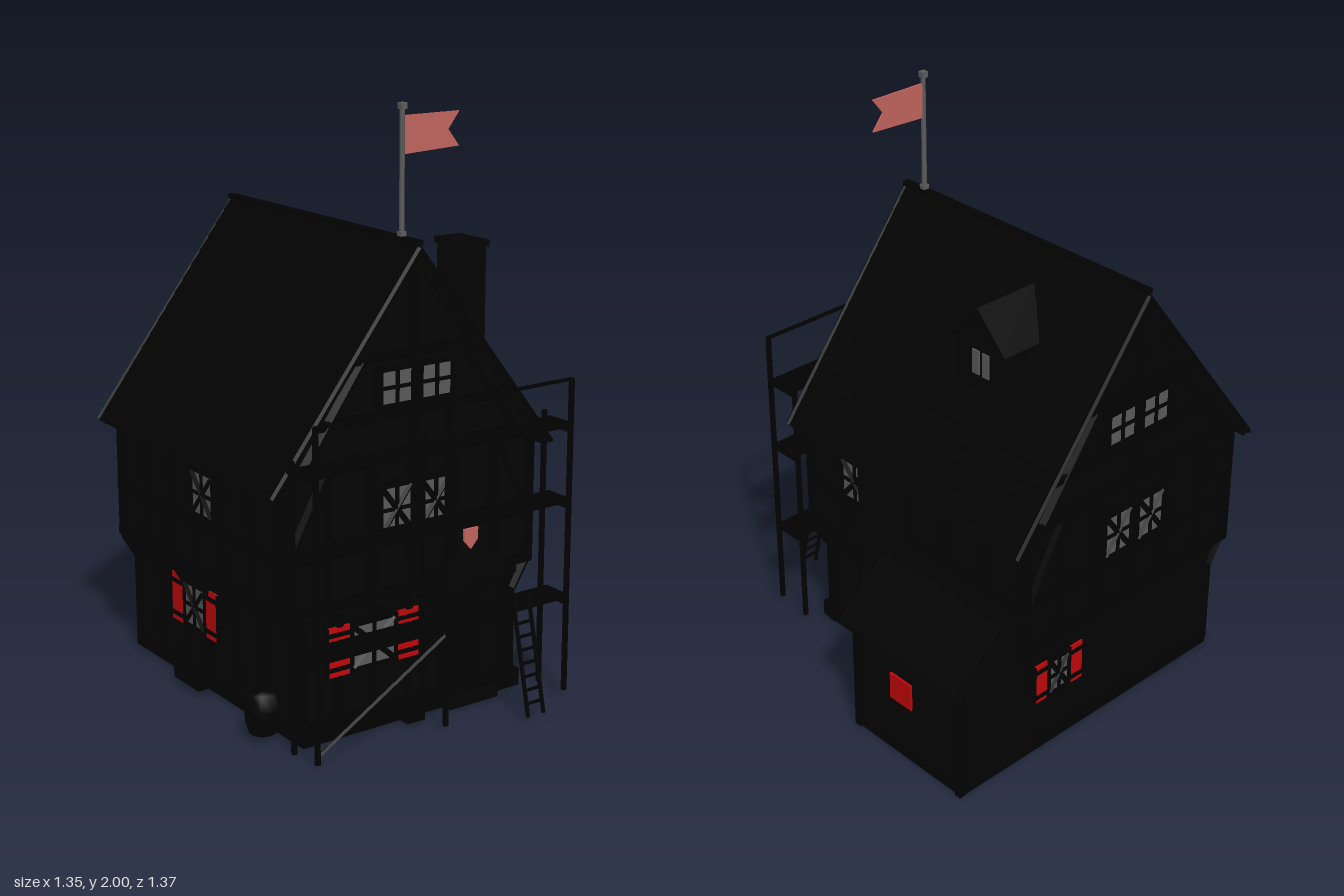
import * as THREE from 'three';

const mat = (name, color) => {
  const m = new THREE.MeshStandardMaterial({ color });
  m.name = name;
  return m;
};

export function createModel() {
  const wall = mat('dark wall', 0x030303), timber = mat('dark timber', 0x010101), tile = mat('roof tile', 0x020202);
  const glass = mat('window glass', 0x5a5a5a), red = mat('shutter red', 0xc20709);
  const cloth = mat('flag cloth', 0xc2645d), metal = mat('pole metal', 0x5c5c5c);
  const house = new THREE.Group();
  house.name = 'house';
  const RX = -0.12, ZF = 0.40, ZB = -0.65;

  const add = (name, geo, m, x = 0, y = 0, z = 0, parent = house) => {
    const mesh = new THREE.Mesh(geo, m);
    mesh.name = name;
    mesh.position.set(x, y, z);
    parent.add(mesh);
    return mesh;
  };
  const box = (name, m, w, h, d, x, y, z, parent) => add(name, new THREE.BoxGeometry(w, h, d), m, x, y, z, parent);
  // square beam between two points
  const beam = (name, m, a, b, t, parent) => {
    const p = new THREE.Vector3(...a), q = new THREE.Vector3(...b);
    const mesh = box(name, m, t, t, p.distanceTo(q), 0, 0, 0, parent);
    mesh.position.copy(p).add(q).multiplyScalar(0.5);
    mesh.quaternion.setFromUnitVectors(new THREE.Vector3(0, 0, 1), q.sub(p).normalize());
    return mesh;
  };
  // polygon in x and y, extruded from z0 to z1
  const prism = (name, m, pts, z0, z1, parent) => {
    const s = new THREE.Shape(pts.map(p => new THREE.Vector2(...p)));
    return add(name, new THREE.ExtrudeGeometry(s, { depth: z1 - z0, bevelEnabled: false }), m, 0, 0, z0, parent);
  };
  // four walls around an open middle
  const rect = (x0, x1, z0, z1) => [[x0, -z1], [x1, -z1], [x1, -z0], [x0, -z0]].map(p => new THREE.Vector2(...p));
  const ring = (name, m, x0, x1, z0, z1, t, h) => {
    const s = new THREE.Shape(rect(x0, x1, z0, z1));
    s.holes.push(new THREE.Path(rect(x0 + t, x1 - t, z0 + t, z1 - t)));
    add(name, new THREE.ExtrudeGeometry(s, { depth: h, bevelEnabled: false }).rotateX(-Math.PI / 2), m);
  };

  // hollow ground floor without a base, plinth and jettied upper floors with gables
  ring('groundFloor', wall, -0.56, 0.32, -0.635, 0.365, 0.04, 0.43);
  ring('plinth', timber, -0.56, 0.32, -0.64, 0.42, 0.045, 0.06);
  prism('upperFloors', wall, [[-0.61, 0.43], [0.37, 0.43], [0.37, 0.9], [RX, 1.53], [-0.61, 0.9]], ZB + 0.01, ZF - 0.01);

  // main roof: two thick slopes with overlapping courses
  const slope = 0.73 / 0.56;
  prism('roofSlab', tile, [[RX - 0.555, 0.85], [RX, 1.575], [RX + 0.555, 0.85], [RX + 0.535, 0.835], [RX, 1.52], [RX - 0.535, 0.835]], -0.67, 0.42);
  const angle = Math.atan(slope), courses = 16;
  for (const side of [-1, 1]) {
    for (let i = 0; i < courses; i++) {
      const t = (i + 0.5) / courses;
      const c = box('roofCourse', tile, 0.058, 0.008, 1.085, RX + side * 0.55 * t, 1.575 - 0.725 * t, -0.125);
      c.rotation.z = -side * (angle - 0.06);
    }
    for (const z of [-0.677, 0.43])
      beam('bargeBoard', timber, [RX + side * 0.552, 0.85, z], [RX, 1.562, z], 0.012);
  }
  box('ridge', tile, 0.025, 0.016, 1.11, RX, 1.577, -0.125);

  // framing on front and back
  for (const z of [ZF, ZB]) {
    for (const [y, w] of [[0.45, 0.98], [0.62, 0.98], [0.9, 0.98], [1.04, 0.76], [1.23, 0.46]])
      box('crossBeam', timber, w, 0.03, 0.026, RX, y, z);
    for (const s of [-1, 1]) {
      for (const dx of [0.16, 0.33, 0.48])
        box('stud', timber, 0.028, 0.46, 0.024, RX + s * dx, 0.67, z);
      beam('gableBrace', timber, [RX + s * 0.42, 0.91, z], [RX + s * 0.2, 1.22, z], 0.024);
      beam('wallBrace', timber, [RX + s * 0.47, 0.64, z], [RX + s * 0.34, 0.88, z], 0.022);
    }
    box('kingPost', timber, 0.026, 1.05, 0.024, RX, 0.96, z);
  }
  // framing on both sides
  for (const s of [-1, 1]) {
    for (const y of [0.45, 0.62, 0.84]) box('sideBeam', timber, 0.026, 0.03, 1.05, RX + s * 0.49, y, -0.125);
    for (let i = 0; i < 7; i++) {
      const z = -0.63 + i * 0.168;
      box('sideStud', timber, 0.024, 0.44, 0.026, RX + s * 0.49, 0.65, z);
      box('lowerStud', timber, 0.024, 0.42, 0.03, RX + s * 0.44, 0.22, -0.62 + i * 0.163);
      beam('jettyBracket', timber, [RX + s * 0.435, 0.34, z], [RX + s * 0.49, 0.43, z], 0.024);
    }
  }
  for (let i = 0; i < 7; i++) {
    const x = -0.53 + i * 0.137;
    box('frontStud', timber, 0.026, 0.42, 0.024, x, 0.22, 0.365);
    beam('frontBracket', timber, [x, 0.35, 0.365], [x, 0.43, 0.405], 0.024);
    box('joistEnd', timber, 0.03, 0.035, 0.03, x, 0.425, 0.395);
  }

  // four-pane window with optional diagonals; shuttered ones also show panes indoors
  const windowAt = (x, y, z, turn, w, h, { cross = true, shutter = 0 } = {}) => {
    const g = new THREE.Group();
    g.name = 'window';
    g.position.set(x, y, z);
    g.rotation.y = turn;
    house.add(g);
    box('glass', glass, w, h, 0.008, 0, 0, 0.012, g);
    box('mullion', timber, 0.013, h, 0.008, 0, 0, 0.017, g);
    box('glazingBar', timber, w, 0.012, 0.008, 0, 0, 0.017, g);
    for (const s of [-1, 1]) {
      box('rail', timber, w + 0.03, 0.015, 0.03, 0, s * (h / 2 + 0.007), 0.005, g);
      box('jamb', timber, 0.015, h, 0.03, s * (w / 2 + 0.007), 0, 0.005, g);
      if (cross) beam('leading', timber, [-w / 2, -s * h / 2, 0.017], [w / 2, s * h / 2, 0.017], 0.014, g);
      if (shutter) {
        const sx = s * (w / 2 + 0.014 + shutter / 2);
        box('shutter', red, shutter, h + 0.03, 0.006, sx, 0, 0.014, g);
        box('shutterEdge', timber, 0.008, h + 0.03, 0.03, sx + s * (shutter / 2 + 0.004), 0, 0.008, g);
        for (const k of [-1, 1]) box('shutterBatten', timber, shutter, 0.014, 0.006, sx, k * h * 0.42, 0.019, g);
      }
    }
    if (shutter) {
      box('innerGlass', glass, 0.12, 0.14, 0.006, 0, 0, -0.047, g);
      box('innerMullion', timber, 0.012, 0.14, 0.006, 0, 0, -0.051, g);
      box('innerBar', timber, 0.12, 0.012, 0.006, 0, 0, -0.051, g);
    }
  };
  for (const [z, turn] of [[ZF, 0], [ZB, Math.PI]])
    for (const x of [-0.195, -0.04]) {
      windowAt(x, 0.73, z, turn, 0.11, 0.145);
      windowAt(x, 1.13, z, turn, 0.11, 0.105, { cross: false });
    }
  windowAt(-0.26, 0.28, 0.367, 0, 0.16, 0.14, { shutter: 0.085 });
  windowAt(0.205, 0.285, -0.637, Math.PI, 0.08, 0.12, { shutter: 0.055 });
  windowAt(-0.562, 0.285, -0.21, -Math.PI / 2, 0.12, 0.14, { shutter: 0.075 });
  windowAt(-0.612, 0.73, -0.06, -Math.PI / 2, 0.12, 0.14);
  windowAt(0.372, 0.73, 0.135, Math.PI / 2, 0.12, 0.14);

  // side annex: sloping roof with a low ridge against the house
  prism('annexWalls', wall, [[0.32, 0], [0.63, 0], [0.63, 0.44], [0.47, 0.58], [0.32, 0.58]], -0.64, -0.13);
  prism('annexRoof', tile, [[0.35, 0.6], [0.35, 0.57], [0.465, 0.58], [0.655, 0.42], [0.675, 0.445], [0.485, 0.61], [0.46, 0.615]], -0.665, -0.11);
  for (const z of [-0.63, -0.14]) box('annexPost', timber, 0.025, 0.43, 0.025, 0.625, 0.215, z);
  box('annexSill', timber, 0.02, 0.03, 0.51, 0.625, 0.03, -0.385);
  box('annexShutter', red, 0.009, 0.1, 0.1, 0.633, 0.27, -0.36);

  // chimney
  box('chimney', wall, 0.095, 1.45, 0.15, 0.407, 0.725, -0.035);
  box('chimneyCap', wall, 0.112, 0.022, 0.168, 0.407, 1.455, -0.035);

  // dormer on the right slope
  const dormer = new THREE.Group();
  dormer.name = 'dormer';
  dormer.rotation.y = Math.PI / 2;
  dormer.position.set(0, 0, -0.265);
  house.add(dormer);
  prism('dormerBody', wall, [[-0.1, 1.17], [0.1, 1.17], [0.1, 1.36], [0, 1.46], [-0.1, 1.36]], -0.02, 0.188, dormer);
  prism('dormerRoof', tile, [[-0.125, 1.35], [0, 1.48], [0.125, 1.35], [0.11, 1.34], [0, 1.455], [-0.11, 1.34]], -0.04, 0.208, dormer);
  for (const s of [-1, 1]) box('dormerPane', glass, 0.03, 0.085, 0.008, s * 0.022, 1.275, 0.189, dormer);

  // flagpole with swallowtail flag
  add('flagpole', new THREE.CylinderGeometry(0.008, 0.009, 0.42, 8), metal, RX, 1.785, 0.335);
  for (const y of [1.59, 1.99]) box('poleCollar', metal, 0.022, 0.02, 0.022, RX, y, 0.335);
  add('poleFoot', new THREE.ConeGeometry(0.03, 0.06, 4), tile, RX, 1.56, 0.335);
  prism('flag', cloth, [[-0.115, 1.84], [0.1, 1.85], [0.057, 1.905], [0.1, 1.96], [-0.115, 1.96]], 0.332, 0.338);

  // small shield on the front wall
  prism('shield', cloth, [[0.085, 0.6], [0.085, 0.56], [0.113, 0.528], [0.142, 0.56], [0.142, 0.6]], 0.402, 0.41);

  // door with canopy and step
  box('door', timber, 0.15, 0.34, 0.02, 0.1, 0.2, 0.37);
  box('doorStep', wall, 0.2, 0.03, 0.09, 0.1, 0.015, 0.41);
  box('canopy', tile, 0.26, 0.06, 0.11, 0.07, 0.475, 0.425);
  for (const x of [-0.04, 0.18]) beam('canopyBracket', timber, [x, 0.36, 0.37], [x, 0.45, 0.46], 0.018);

  // scaffold: posts, decks, rails and bracing
  for (const x of [-0.615, RX, 0.38]) {
    box('outerPost', timber, 0.014, 1.08, 0.014, x, 0.565, 0.583);
    box('innerPost', timber, 0.014, 0.96, 0.014, x, 0.49, 0.452);
    for (const y of [0.335, 0.67, 0.93]) box('deckBearer', timber, 0.012, 0.012, 0.145, x, y, 0.518);
  }
  for (const y of [0.35, 0.685, 0.943]) box('deck', timber, 1.04, 0.013, 0.11, -0.12, y, 0.515);
  box('topRail', timber, 1.0, 0.01, 0.01, -0.12, 1.103, 0.583);
  beam('scaffoldBrace', timber, [-0.615, 0.05, 0.583], [RX, 0.34, 0.583], 0.01);

  // leaning ladder
  for (const x of [0.145, 0.21]) beam('ladderRail', timber, [x, 0.02, 0.68], [x, 0.41, 0.59], 0.01);
  for (let i = 1; i < 9; i++)
    box('ladderRung', timber, 0.065, 0.008, 0.008, 0.178, 0.02 + i * 0.043, 0.68 - i * 0.01);

  // barrel, crate and bench beside the walls
  const profile = [[0, 0], [0.045, 0], [0.058, 0.045], [0.06, 0.085], [0.05, 0.14], [0, 0.14]].map(p => new THREE.Vector2(...p));
  add('barrel', new THREE.LatheGeometry(profile, 10), timber, -0.622, 0.025, 0.28);
  box('crate', timber, 0.07, 0.07, 0.07, -0.16, 0.045, 0.445);
  box('bench', timber, 0.07, 0.05, 0.16, -0.59, 0.045, -0.2);
  return house;
}
